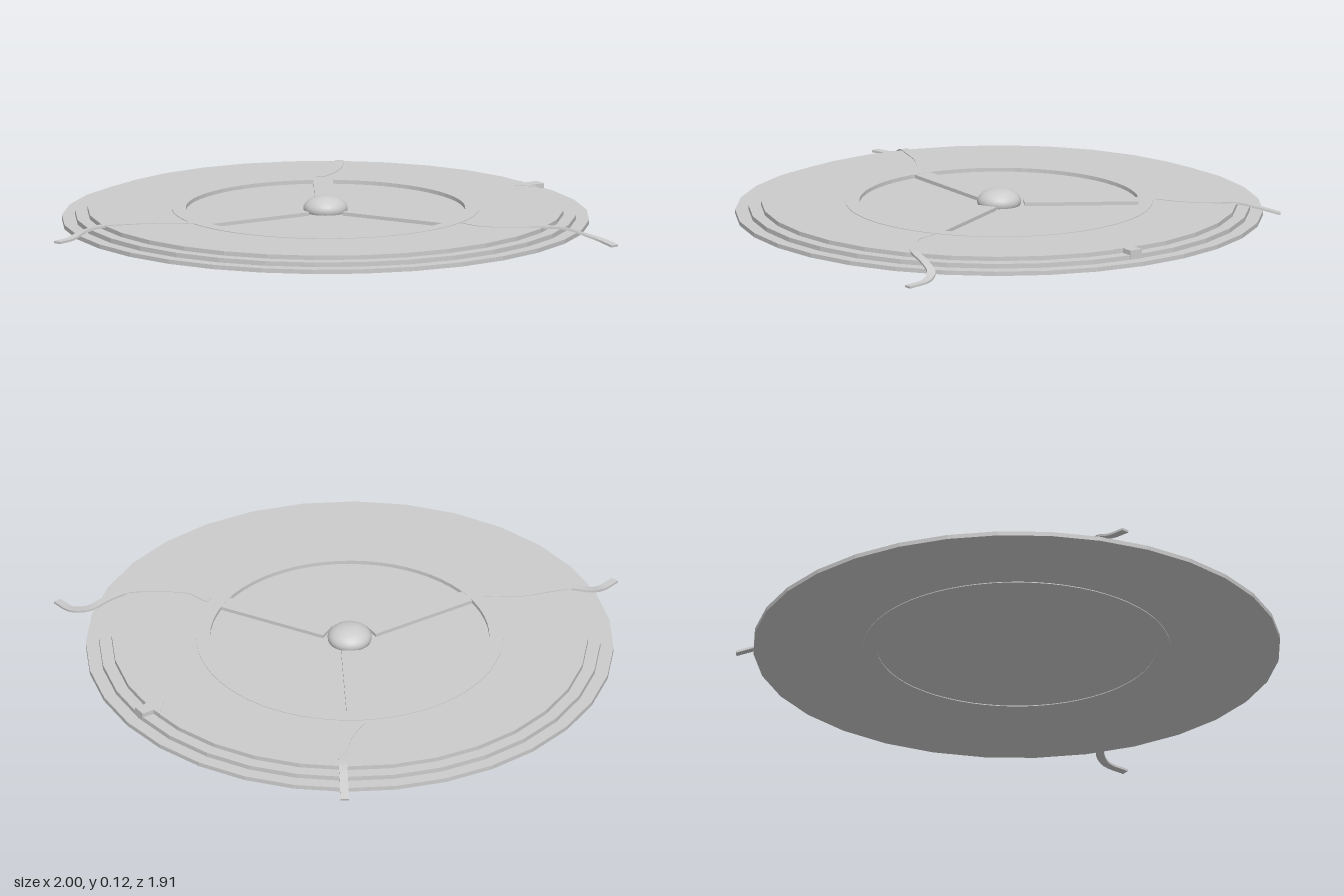
import * as THREE from 'three';

const material = new THREE.MeshStandardMaterial({ color: 0xcccccc, flatShading: true });
const smooth = new THREE.MeshStandardMaterial({ color: 0xcccccc });
const ribbonMaterial = new THREE.MeshStandardMaterial({ color: 0xcccccc, side: THREE.DoubleSide });

function part(name, geometry, mat = material) {
  const mesh = new THREE.Mesh(geometry, mat);
  mesh.name = name;
  return mesh;
}

function lathe(points, sides) {
  return new THREE.LatheGeometry(points.map(([r, y]) => new THREE.Vector2(r, y)), sides).toNonIndexed();
}

// Flat strap with a rectangular section, swept along a curve and kept level across
function strapGeometry(points, width = 0.03, thick = 0.008, steps = 36) {
  const curve = new THREE.CatmullRomCurve3(points.map((p) => new THREE.Vector3(...p)));
  const pos = [];
  const index = [];
  for (let i = 0; i <= steps; i++) {
    const p = curve.getPoint(i / steps);
    const t = curve.getTangent(i / steps);
    const side = new THREE.Vector3(-t.z, 0, t.x).normalize();
    const up = new THREE.Vector3().crossVectors(t, side).normalize();
    if (up.y < 0) up.negate();
    for (const [a, b] of [[-1, 0], [1, 0], [1, -1], [-1, -1]]) {
      const v = p.clone().addScaledVector(side, a * width / 2).addScaledVector(up, b * thick);
      pos.push(v.x, Math.max(v.y, 0), v.z);
    }
    if (i === steps) continue;
    for (let k = 0; k < 4; k++) {
      const a = i * 4 + k, b = i * 4 + (k + 1) % 4;
      index.push(a, b, a + 4, b, b + 4, a + 4);
    }
  }
  const e = steps * 4;
  index.push(0, 2, 1, 0, 3, 2, e, e + 1, e + 2, e, e + 2, e + 3);
  const g = new THREE.BufferGeometry();
  g.setAttribute('position', new THREE.Float32BufferAttribute(pos, 3));
  g.setIndex(index);
  const flat = g.toNonIndexed();
  flat.computeVertexNormals();
  return flat;
}

export function createModel() {
  const model = new THREE.Group();
  const body = new THREE.Group();
  body.name = 'body';
  body.position.x = 0.045;
  model.add(body);

  // Three-step plate with a sunken middle
  body.add(part('steppedDisc', lathe([
    [0, 0.02], [0.953, 0.02], [0.953, 0.036], [0.905, 0.036], [0.905, 0.053],
    [0.86, 0.053], [0.86, 0.069], [0.53, 0.069], [0.53, 0.057], [0, 0.057],
  ], 32)));

  // Ring standing slightly proud on both faces
  body.add(part('ring', lathe([
    [0.505, 0.03], [0.505, 0.017], [0.555, 0.017], [0.555, 0.071], [0.505, 0.071], [0.505, 0.03],
  ], 64)));

  // Three spokes running from near the hub to the ring
  for (let i = 0; i < 3; i++) {
    const spoke = new THREE.Group();
    spoke.name = 'spoke';
    const bar = part('spokeBar', new THREE.BoxGeometry(0.43, 0.02, 0.07));
    bar.position.set(0.305, 0.06, 0);
    spoke.add(bar);
    spoke.rotation.y = Math.PI + i * Math.PI * 2 / 3;
    body.add(spoke);
  }

  // Flattened dome in the centre
  const hub = part('hubDome', new THREE.SphereGeometry(0.08, 32, 20), smooth);
  hub.scale.y = 0.58;
  hub.position.y = 0.07;
  body.add(hub);

  // Arrow marker on the +x rim, pointing inward
  const arrow = new THREE.Shape([
    [0.8, 0], [0.855, 0.06], [0.855, 0.025], [0.905, 0.025],
    [0.905, -0.025], [0.855, -0.025], [0.855, -0.06],
  ].map(([x, y]) => new THREE.Vector2(x, y)));
  const marker = part('arrowMarker', new THREE.ExtrudeGeometry(arrow, { depth: 0.03, bevelEnabled: false }));
  marker.rotation.x = -Math.PI / 2;
  marker.position.y = 0.0405;
  body.add(marker);

  // Wavy straps lying on the plate and hanging over its rim
  const straps = {
    rightStrap: [[-0.48, 0.071, 0], [-0.55, 0.071, -0.05], [-0.64, 0.071, -0.1], [-0.76, 0.072, -0.135],
      [-0.82, 0.068, -0.155], [-0.875, 0.05, -0.175], [-0.93, 0.033, -0.165], [-1, 0.031, -0.145]],
    backStrap: [[0.32, 0.071, -0.5], [0.4, 0.071, -0.55], [0.47, 0.071, -0.62], [0.53, 0.072, -0.71],
      [0.565, 0.055, -0.77], [0.61, 0.03, -0.845]],
    frontStrap: [[0.34, 0.071, 0.48], [0.37, 0.071, 0.57], [0.46, 0.071, 0.64], [0.55, 0.072, 0.69],
      [0.63, 0.06, 0.705], [0.7, 0.035, 0.72], [0.742, 0.018, 0.77], [0.75, 0.009, 0.855]],
  };
  for (const [name, points] of Object.entries(straps)) model.add(part(name, strapGeometry(points), ribbonMaterial));

  return model;
}
